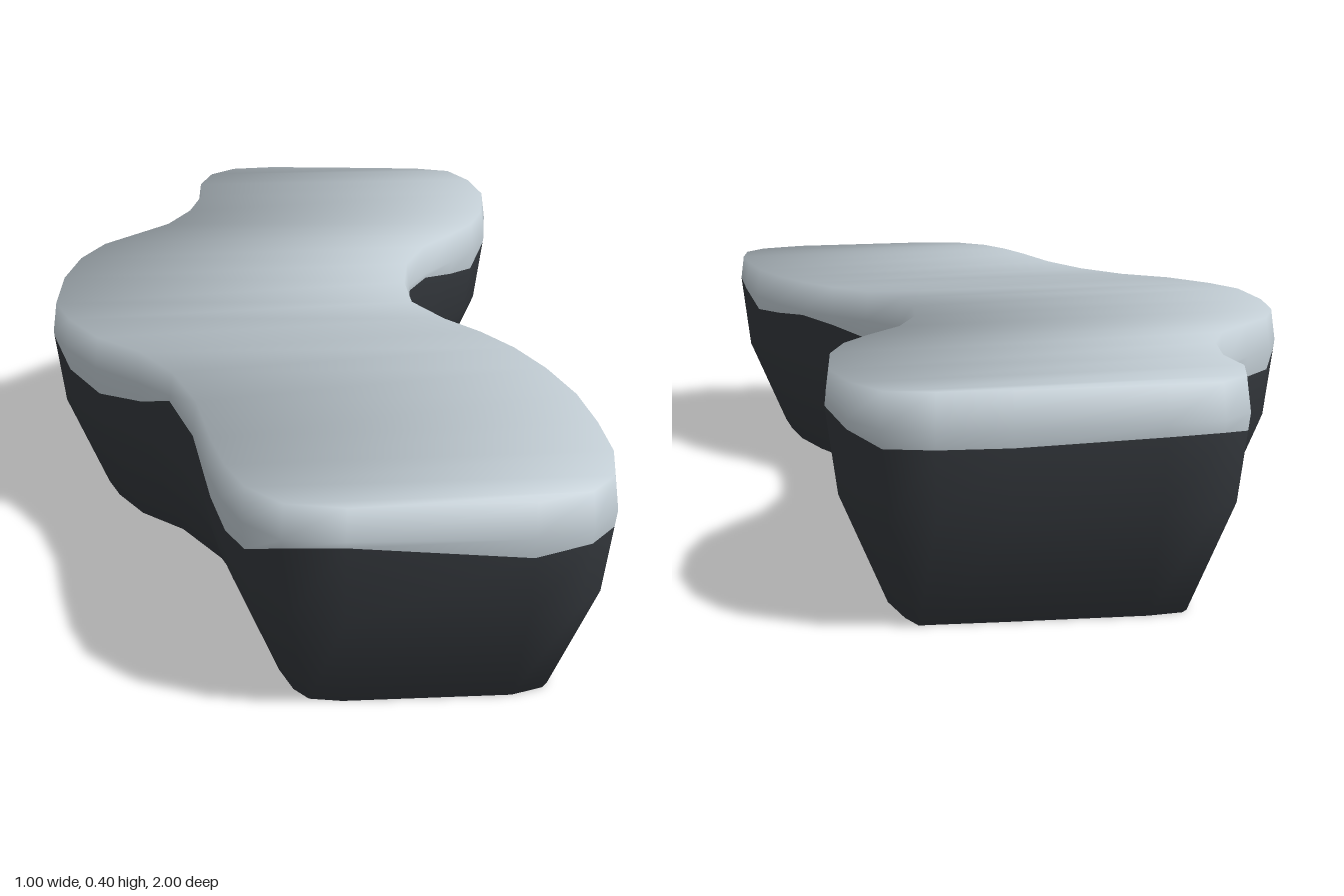
import * as THREE from 'three';

// Outline points [x, z, height of the colour border], back to front
const leftSide = [
  [0, -1, .32], [-.1, -.99, .32], [-.16, -.94, .31], [-.19, -.85, .31], [-.19, -.75, .32], [-.22, -.63, .34],
  [-.27, -.53, .33], [-.34, -.46, .3], [-.41, -.39, .3], [-.46, -.29, .32], [-.49, -.16, .34],
  [-.5, 0, .33], [-.47, .1, .295], [-.41, .21, .285], [-.33, .29, .3], [-.27, .4, .345],
  [-.23, .54, .335], [-.21, .7, .29], [-.19, .81, .28], [-.16, .9, .29], [-.1, .97, .325], [0, .995, .335],
];
const rightSide = [
  [.24, -.975, .31], [.36, -.96, .31], [.44, -.93, .31], [.48, -.84, .325], [.495, -.72, .34], [.47, -.57, .325],
  [.43, -.47, .295], [.37, -.39, .31], [.3, -.31, .33], [.25, -.2, .34], [.23, -.08, .32],
  [.23, .04, .295], [.28, .14, .3], [.34, .22, .32], [.39, .31, .33], [.43, .42, .32],
  [.46, .55, .31], [.47, .68, .34], [.47, .8, .35], [.45, .9, .31], [.4, .96, .31], [.3, .995, .305],
];

// How far the wall is drawn in at height y
const profile = [[0, .1], [.19, .02], [.34, 0], [.4, .008]];
function inset(y) {
  for (let k = 1; k < profile.length; k++) {
    const [y0, d0] = profile[k - 1], [y1, d1] = profile[k];
    if (y <= y1) return d0 + (d1 - d0) * (y - y0) / (y1 - y0);
  }
  return profile[profile.length - 1][1];
}

function bodyGeometry() {
  const loop = [...rightSide, ...[...leftSide].reverse()];
  const n = loop.length, rows = 5, half = rightSide.length;
  const outward = loop.map((p, i) => {
    const a = loop[(i + n - 1) % n], b = loop[(i + 1) % n];
    return new THREE.Vector2(b[1] - a[1], a[0] - b[0]).normalize();
  });

  // Stacked rings: foot, belly, colour border, widest line, rim
  const positions = [];
  for (let r = 0; r < rows; r++) {
    loop.forEach(([x, z, border], i) => {
      const y = [0, .19, border, Math.max(.34, border + .01), .4][r];
      const d = inset(y);
      positions.push(x - outward[i].x * d, y, z - outward[i].y * d);
    });
  }

  const wall = (r) => {
    const out = [];
    for (let i = 0; i < n; i++) {
      const j = (i + 1) % n, a = r * n + i, b = r * n + j;
      out.push(a, a + n, b, b, a + n, b + n);
    }
    return out;
  };
  // Flat cap made of strips running from side to side
  const cap = (r, up) => {
    const out = [];
    for (let i = 0; i < half - 1; i++) {
      const R = r * n + i, L = r * n + n - 1 - i;
      if (up) out.push(L, L - 1, R, R, L - 1, R + 1);
      else out.push(L, R, L - 1, R, R + 1, L - 1);
    }
    return out;
  };
  const dark = [...cap(0, false), ...wall(0), ...wall(1)];
  const pale = [...wall(2), ...wall(3), ...cap(4, true)];

  const geo = new THREE.BufferGeometry();
  geo.setAttribute('position', new THREE.Float32BufferAttribute(positions, 3));
  geo.setIndex([...dark, ...pale]);
  geo.addGroup(0, dark.length, 0);
  geo.addGroup(dark.length, pale.length, 1);
  geo.computeVertexNormals();

  // Soft shading over the foot and the rim
  const normal = geo.attributes.normal, v = new THREE.Vector3();
  for (let i = 0; i < n; i++) {
    v.set(outward[i].x, -.9, outward[i].y).normalize();
    normal.setXYZ(i, v.x, v.y, v.z);
    v.set(outward[i].x, .95, outward[i].y).normalize();
    normal.setXYZ(4 * n + i, v.x, v.y, v.z);
  }
  return geo;
}

export function createModel() {
  const darkRock = new THREE.MeshStandardMaterial({ color: 0x363a3f });
  darkRock.name = 'darkRock';
  const paleTop = new THREE.MeshStandardMaterial({ color: 0xc3ced5 });
  paleTop.name = 'paleTop';

  const body = new THREE.Mesh(bodyGeometry(), [darkRock, paleTop]);
  body.name = 'cappedRock';
  const group = new THREE.Group();
  group.name = 'windingRock';
  group.add(body);
  return group;
}
